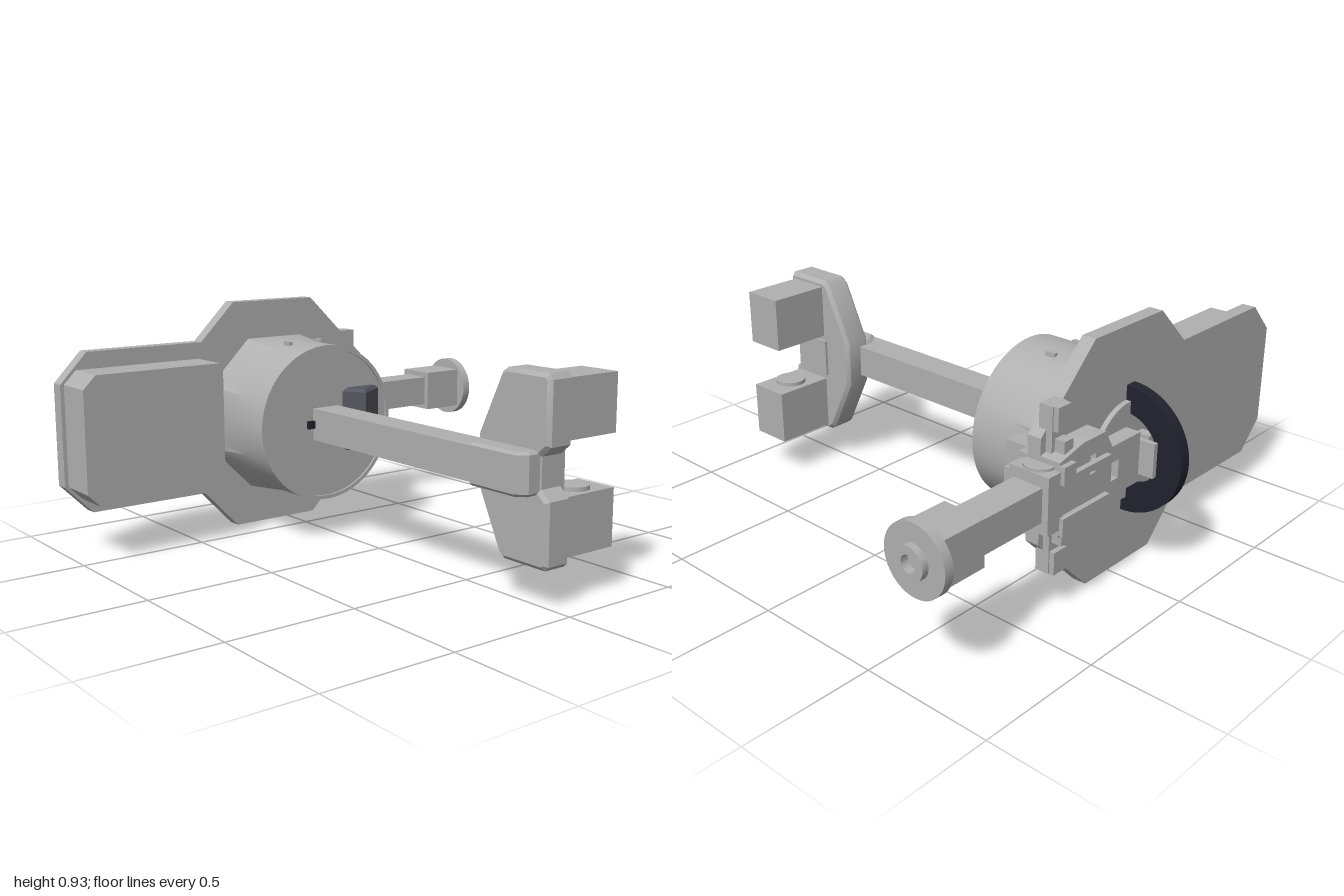
import * as THREE from 'three';
import { toCreasedNormals } from 'three/addons/utils/BufferGeometryUtils.js';

const CY = 0.465; // height of the main axis
const CX = -0.055; // drum axis

export function createModel() {
  const root = new THREE.Group();
  const mat = (name, color) => {
    const m = new THREE.MeshStandardMaterial({ color });
    m.name = name;
    return m;
  };
  const grey = mat('light grey', 0xb0b0b0);
  const slate = mat('slate grey', 0x55565e);
  const dark = mat('near black', 0x22222e);

  const add = (name, geo, m = grey) => {
    const mesh = new THREE.Mesh(geo, m);
    mesh.name = name;
    root.add(mesh);
    return mesh;
  };
  // Box from its limits on each axis
  const box = (name, x0, x1, y0, y1, z0, z1, m) => {
    const g = new THREE.BoxGeometry(x1 - x0, y1 - y0, z1 - z0);
    g.translate((x0 + x1) / 2, (y0 + y1) / 2, (z0 + z1) / 2);
    return add(name, g, m);
  };
  const poly = (pts) => new THREE.Shape(pts.map((p) => new THREE.Vector2(p[0], p[1])));
  const extrude = (shape, depth, bevel = 0) => {
    const g = new THREE.ExtrudeGeometry(shape, {
      depth: depth - 2 * bevel, bevelEnabled: bevel > 0, bevelThickness: bevel,
      bevelSize: bevel, bevelOffset: -bevel, bevelSegments: 1, curveSegments: 40,
    });
    g.translate(0, 0, bevel);
    return toCreasedNormals(g, 0.5);
  };
  // Profile in (x, y), extruded from z0 to z1
  const alongZ = (name, shape, z0, z1, bevel, m) =>
    add(name, extrude(shape, z1 - z0, bevel).translate(0, 0, z0), m);
  // Profile in (z, y), extruded from x0 to x1
  const alongX = (name, shape, x0, x1, bevel, m) =>
    add(name, extrude(shape, x1 - x0, bevel).rotateY(-Math.PI / 2).translate(x1, 0, 0), m);
  // Profile in (x, z), extruded from y0 to y1
  const alongY = (name, shape, y0, y1, bevel, m) =>
    add(name, extrude(shape, y1 - y0, bevel).rotateX(Math.PI / 2).translate(0, y1, 0), m);
  // Lower and upper copies mirrored about the main axis
  const mirrorBox = (name, x0, x1, d0, d1, z0, z1, m) => {
    box(name + 'Upper', x0, x1, CY + d0, CY + d1, z0, z1, m);
    box(name + 'Lower', x0, x1, CY - d1, CY - d0, z0, z1, m);
  };

  // Main mounting plate and the chamfered side housing
  alongZ('mountingPlate', poly([
    [-1, 0.27], [-0.89, 0.158], [-0.4, 0.158], [-0.25, 0], [0.13, 0], [0.4, 0.27],
    [0.4, 0.66], [0.13, 0.925], [-0.25, 0.925], [-0.4, 0.775], [-0.89, 0.775], [-1, 0.66],
  ]), -0.69, -0.635);
  alongZ('sideHousing', poly([
    [-0.985, 0.27], [-0.935, 0.22], [-0.415, 0.22], [-0.402, 0.233],
    [-0.402, 0.697], [-0.415, 0.71], [-0.935, 0.71], [-0.985, 0.66],
  ]), -0.636, -0.47);

  // Drum: octagonal foot blending into a round, slightly recessed front
  const N = 64;
  const octagon = (a) => {
    const s = Math.PI / 4;
    return 0.308 / Math.cos(a - Math.round(a / s) * s);
  };
  const rings = [
    [-0.64, octagon], [-0.42, () => 0.308], [-0.26, () => 0.308],
    [-0.26, () => 0.293], [-0.268, () => 0.293], [-0.268, () => 0],
  ];
  const pos = [];
  const vert = (i, j) => {
    const a = ((j % N) / N) * Math.PI * 2;
    const r = rings[i][1](a);
    return [CX + r * Math.cos(a), CY + r * Math.sin(a), rings[i][0]];
  };
  for (let i = 0; i < rings.length - 1; i++) {
    for (let j = 0; j < N; j++) {
      const a = vert(i, j), b = vert(i, j + 1), c = vert(i + 1, j + 1), d = vert(i + 1, j);
      pos.push(...a, ...b, ...c);
      if (i < rings.length - 2) pos.push(...a, ...c, ...d);
      else pos.splice(-9, 9, ...a, ...b, ...d);
    }
  }
  const drumGeo = new THREE.BufferGeometry();
  drumGeo.setAttribute('position', new THREE.Float32BufferAttribute(pos, 3));
  drumGeo.computeVertexNormals();
  add('drum', toCreasedNormals(drumGeo, 0.35));
  box('drumPeg', -0.15, -0.12, CY - 0.015, CY + 0.015, -0.27, -0.253, dark);
  for (const x of [-0.13, 0.02]) box('drumLug', x - 0.008, x + 0.008, 0.76, 0.778, -0.44, -0.4);

  // Angled dark sensor box on the drum face
  const sensor = alongY('sensorBox', poly([[-0.07, -0.1], [0.07, -0.1], [0.07, 0], [-0.07, 0]]),
    -0.125, 0.125, 0.012, slate);
  sensor.position.set(0.13, 0.47, -0.212);
  sensor.rotation.y = 0.56;

  // Long front pole
  box('frontPole', -0.12, 0, 0.403, 0.528, -0.268, 0.66);

  // Front bracket: notched side plate, thick middle, two blocks
  alongX('frontBracket', poly([
    [0.595, 0.375], [0.7, 0.16], [0.725, 0.14], [0.915, 0.14], [0.93, 0.155],
    [0.93, 0.375], [0.89, 0.41], [0.89, 0.52], [0.93, 0.555], [0.93, 0.775],
    [0.915, 0.795], [0.725, 0.795], [0.7, 0.775], [0.595, 0.555],
  ]), -0.045, 0.07, 0.014);
  alongY('bracketMiddle', poly([
    [-0.12, 0.64], [-0.065, 0.597], [0.03, 0.597], [0.03, 0.885], [-0.085, 0.885], [-0.12, 0.85],
  ]), 0.39, 0.54, 0.01);
  box('bracketPad', 0.06, 0.08, 0.39, 0.54, 0.72, 0.885);
  mirrorBox('bracketBlock', 0.06, 0.31, 0.095, 0.305, 0.735, 0.9);
  const button = new THREE.CylinderGeometry(0.06, 0.06, 0.02, 32);
  button.translate(0.19, CY - 0.09, 0.82);
  add('blockButton', button);

  // Side arm with collar, flange and hollow hub
  box('sideArm', 0.44, 0.77, 0.403, 0.528, -0.75, -0.63);
  box('armCollar', 0.76, 0.945, 0.382, 0.55, -0.775, -0.608);
  const flange = new THREE.LatheGeometry([
    [0, 0], [0.127, 0], [0.127, 0.035], [0.06, 0.035], [0.06, 0.06], [0.03, 0.06], [0.03, 0.03], [0, 0.03],
  ].map((p) => new THREE.Vector2(p[0], p[1])), 40);
  flange.rotateZ(-Math.PI / 2).translate(0.94, CY, -0.69);
  add('armFlange', toCreasedNormals(flange, 0.5));

  // Clamp around the plate edge holding the arm
  box('clampBlock', 0.385, 0.46, 0.36, 0.57, -0.775, -0.61);
  box('clampFront', 0.29, 0.45, 0.385, 0.545, -0.64, -0.58);
  box('clampJaw', 0.25, 0.32, 0.375, 0.565, -0.6, -0.48);
  mirrorBox('clampEar', 0.34, 0.4, 0.08, 0.125, -0.79, -0.6);
  const pin = new THREE.CylinderGeometry(0.058, 0.058, 0.23, 32);
  pin.translate(0.4, CY, -0.69);
  add('clampPin', pin);

  // Rear carriage: slotted plate, ribs and vertical rails
  const carriage = poly([
    [-0.04, 0.37], [0.12, 0.37], [0.16, 0.3], [0.28, 0.3], [0.4, 0.33],
    [0.4, 0.6], [0.28, 0.63], [0.16, 0.63], [0.12, 0.56], [-0.04, 0.56],
  ]);
  const slot = (x0, x1, y0, y1) => carriage.holes.push(
    new THREE.Path([[x0, y0], [x0, y1], [x1, y1], [x1, y0]].map((p) => new THREE.Vector2(...p))));
  slot(0.08, 0.12, 0.43, 0.5);
  slot(0.21, 0.24, 0.5, 0.57);
  alongZ('carriagePlate', carriage, -0.77, -0.69);
  mirrorBox('carriageRib', 0.15, 0.4, 0.06, 0.085, -0.79, -0.765);
  box('carriageTab', -0.06, -0.04, 0.4, 0.53, -0.83, -0.69);
  mirrorBox('rail', 0.3, 0.375, 0.1, 0.305, -0.715, -0.66);
  mirrorBox('railEnd', 0.305, 0.37, 0.22, 0.305, -0.735, -0.715);
  mirrorBox('railFoot', 0.315, 0.36, 0.13, 0.19, -0.755, -0.71);

  // Rear dial with its knob and dark half-ring
  const dial = new THREE.CylinderGeometry(0.185, 0.185, 0.02, 48);
  dial.rotateX(Math.PI / 2).translate(CX, CY, -0.7);
  add('rearDial', dial);
  box('dialKnob', -0.14, -0.1, 0.41, 0.52, -0.765, -0.69);
  const ring = new THREE.Shape();
  ring.absarc(-0.69, CY, 0.24, Math.PI / 2, Math.PI * 1.5, false);
  ring.absarc(-0.69, CY, 0.14, Math.PI * 1.5, Math.PI / 2, true);
  alongX('halfRing', ring, -0.105, -0.06, 0, dark);

  return root;
}
